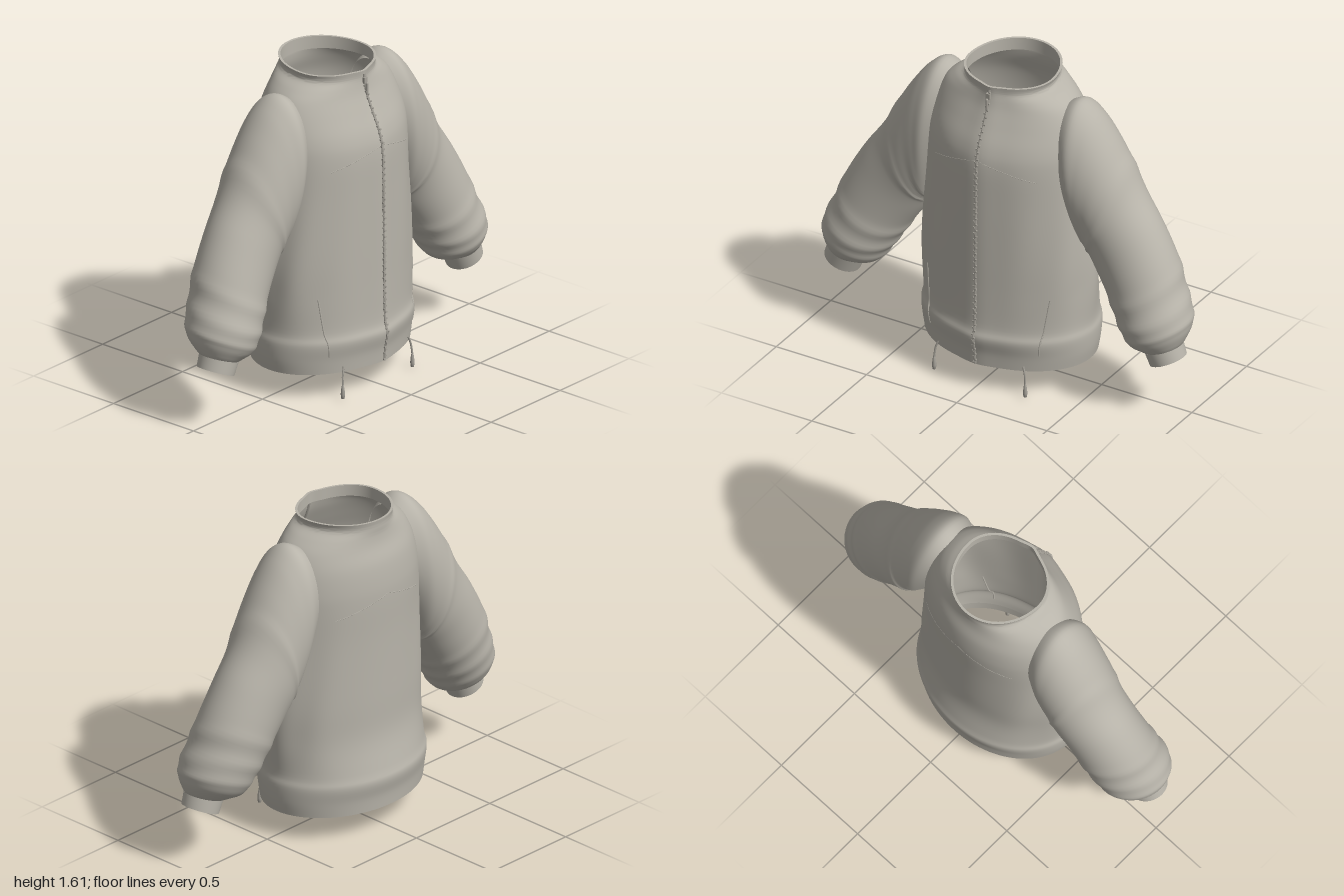
import * as THREE from 'three';
import { toCreasedNormals } from 'three/addons/utils/BufferGeometryUtils.js';

// Catmull-Rom blend between rows of section parameters, t in 0..rows.length-1
function blend(rows, t) {
  const i = Math.min(Math.floor(t), rows.length - 2), f = t - i;
  const at = (k) => rows[Math.max(0, Math.min(rows.length - 1, k))];
  return rows[i].map((p1, k) => {
    const p0 = at(i - 1)[k], p2 = at(i + 1)[k], p3 = at(i + 2)[k];
    const v0 = (p2 - p0) / 2, v1 = (p3 - p1) / 2;
    return p1 + f * (v0 + f * (3 * (p2 - p1) - 2 * v0 - v1 + f * (2 * (p1 - p2) + v0 + v1)));
  });
}

// Skin a tube through rings given by point(ring, angle)
function loft(rings, segments, point) {
  const pos = [], index = [];
  for (let r = 0; r < rings; r++)
    for (let s = 0; s < segments; s++) pos.push(...point(r, (s / segments) * Math.PI * 2));
  for (let r = 0; r < rings - 1; r++)
    for (let s = 0; s < segments; s++) {
      const n = (s + 1) % segments, a = r * segments + s, b = r * segments + n;
      const c = a + segments, d = b + segments;
      index.push(a, b, c, b, d, c);
    }
  const geo = new THREE.BufferGeometry();
  geo.setAttribute('position', new THREE.Float32BufferAttribute(pos, 3));
  geo.setIndex(index);
  return toCreasedNormals(geo, 1.0);
}

// Body sections: height, half width, front z, back z
const BODY = [
  [0.13, 0.44, 0.32, -0.34], [0.2, 0.452, 0.325, -0.345], [0.28, 0.455, 0.34, -0.36],
  [0.34, 0.445, 0.325, -0.345], [0.5, 0.45, 0.32, -0.312], [0.7, 0.45, 0.318, -0.31],
  [1.0, 0.43, 0.315, -0.31], [1.2, 0.42, 0.31, -0.315], [1.3, 0.41, 0.29, -0.312],
  [1.4, 0.385, 0.245, -0.298], [1.48, 0.345, 0.21, -0.272], [1.53, 0.29, 0.197, -0.262],
  [1.56, 0.237, 0.193, -0.262], [1.58, 0.228, 0.193, -0.262], [1.603, 0.235, 0.195, -0.265],
];

// Sleeve sections: outer x, y, inner x, y, front z, back z
const SLEEVE = [
  [0.3, 1.49, 0.36, 0.95, 0.14, -0.18], [0.38, 1.53, 0.41, 0.83, 0.18, -0.21],
  [0.46, 1.475, 0.435, 0.76, 0.18, -0.215], [0.54, 1.37, 0.445, 0.745, 0.175, -0.215],
  [0.61, 1.255, 0.45, 0.735, 0.172, -0.215], [0.7, 1.09, 0.46, 0.72, 0.163, -0.21],
  [0.8, 0.945, 0.49, 0.67, 0.165, -0.2], [0.89, 0.785, 0.55, 0.58, 0.178, -0.19],
  [0.94, 0.655, 0.605, 0.49, 0.195, -0.175], [0.99, 0.535, 0.655, 0.41, 0.208, -0.155],
  [0.997, 0.47, 0.7, 0.348, 0.195, -0.125], [0.98, 0.41, 0.755, 0.332, 0.165, -0.07],
  [0.965, 0.382, 0.79, 0.325, 0.147, -0.037],
];

// Cuff sections, running down the outside and back up the inside
const CUFF = [
  [0.97, 0.388, 0.785, 0.325, 0.15, -0.042], [0.988, 0.33, 0.815, 0.258, 0.145, -0.038],
  [0.976, 0.325, 0.827, 0.264, 0.133, -0.026], [0.955, 0.38, 0.8, 0.325, 0.133, -0.026],
];

// Angle 0 is the wearer's left, a quarter turn is the front
function bodyPoint([y, a, zf, zb], ang) {
  const s = Math.sin(ang), c = Math.cos(ang);
  const soft = Math.min(1, Math.max(0, (y - 0.3) * 4)) * Math.min(1, Math.max(0, (1.25 - y) * 3));
  const fold = 1 + 0.008 * soft * Math.sin(9 * ang + 4 * y) * c * c * 2;
  const ridge = s > 0 ? 0.012 * Math.pow(s, 60) : 0;
  const z = (s > 0 ? zf * s : -zb * s) * fold + ridge;
  const tilt = Math.min(1, Math.max(0, (y - 1.5) * 12)) * -0.045 * (z + 0.03);
  return [a * c * fold, y + tilt, z];
}

// Find the body section at a given height
function bodyAt(y) {
  let lo = 0, hi = BODY.length - 1;
  for (let i = 0; i < 30; i++) {
    const m = (lo + hi) / 2;
    if (blend(BODY, m)[0] < y) lo = m; else hi = m;
  }
  return blend(BODY, lo);
}

// Point on the body surface from x and y; face is 1 for front, -1 for back
function onBody(x, y, face, lift = 0) {
  const row = bodyAt(y);
  const p = bodyPoint(row, face * Math.acos(Math.max(-1, Math.min(1, x / row[1]))));
  return new THREE.Vector3(p[0], p[1], p[2] + lift * face);
}

function armPoint([ux, uy, lx, ly, zf, zb], ang, side, puff = 0) {
  const c = Math.cos(ang) * (1 + puff), s = Math.sin(ang) * (1 + puff);
  return [side * ((ux + lx) / 2 + (ux - lx) / 2 * c), (uy + ly) / 2 + (uy - ly) / 2 * c,
    (zf + zb) / 2 + (zf - zb) / 2 * s];
}

export function createModel() {
  const jacket = new THREE.Group();
  jacket.name = 'jacket';
  const fabric = new THREE.MeshStandardMaterial({ color: 0xb8b4aa, side: THREE.DoubleSide });
  fabric.name = 'stone fabric';
  const trim = new THREE.MeshStandardMaterial({ color: 0xa5a198 });
  trim.name = 'stone trim';
  const add = (name, geo, mat = fabric) => {
    const mesh = new THREE.Mesh(geo, mat);
    mesh.name = name;
    jacket.add(mesh);
    return mesh;
  };
  const tube = (name, pts, r, mat = fabric) =>
    add(name, new THREE.TubeGeometry(new THREE.CatmullRomCurve3(pts), pts.length * 3, r, 6), mat);

  // Body with the hem and collar turned inwards
  const inset = ([y, a, zf, zb], dy) => [y + dy, a - 0.012, zf - 0.012, zb + 0.012];
  const rows = [inset(BODY[0], 0.07), inset(BODY[0], 0)];
  for (let i = 0; i <= (BODY.length - 1) * 5; i++) rows.push(blend(BODY, i / 5));
  const top = BODY[BODY.length - 1];
  rows.push(inset(top, 0), inset(top, -0.06));
  add('body', loft(rows.length, 96, (r, ang) => bodyPoint(rows[r], ang)));

  for (const side of [1, -1]) {
    const label = side > 0 ? 'left' : 'right';

    // Sleeve with soft creases at the armhole, elbow and wrist
    const steps = 6, rings = (SLEEVE.length - 1) * steps + 1;
    add(label + 'Sleeve', loft(rings, 48, (r, ang) => {
      const t = r / steps;
      const bump = (at, w, h) => h * Math.exp(-(((t - at - 0.25 * Math.sin(ang)) / w) ** 2));
      const puff = bump(4.3, 0.25, 0.025) + bump(7.5, 0.25, 0.03) + bump(8.5, 0.25, 0.035)
        + bump(9.4, 0.25, 0.025);
      return armPoint(blend(SLEEVE, t), ang, side, t > 10.5 ? 0 : puff);
    }));
    add(label + 'Cuff', loft(CUFF.length, 40, (r, ang) => armPoint(CUFF[r], ang, side)));

    // Slanted pocket welt
    const welt = [];
    for (let i = 0; i <= 8; i++)
      welt.push(onBody(side * (0.3 + 0.04 * i / 8), 0.22 + 0.3 * i / 8, 1));
    tube(label + 'PocketWelt', welt, 0.004);

    // Yoke seams on the chest and back
    for (const face of [1, -1]) {
      const seam = [];
      for (let i = 0; i <= 8; i++)
        seam.push(onBody(side * 0.035 * i, 1.24 - 0.01 * i, face, -0.001));
      tube(label + (face > 0 ? 'Front' : 'Back') + 'YokeSeam', seam, 0.002);
    }

    // Hem drawcord and its toggle
    tube(label + 'Drawcord', [[0.235, 0.16, 0.28], [0.247, 0.12, 0.285], [0.252, 0.07, 0.29]]
      .map(([x, y, z]) => new THREE.Vector3(side * x, y, z)), 0.005, trim);
    const toggle = add(label + 'Toggle', new THREE.LatheGeometry(
      [[0, 0], [0.008, 0.004], [0.011, 0.025], [0.008, 0.055], [0.004, 0.075], [0, 0.078]]
        .map(([x, y]) => new THREE.Vector2(x, y)), 12), trim);
    toggle.position.set(side * 0.252, 0, 0.29);
  }

  // Zip from hem to collar with interlocking teeth
  const line = [];
  for (let i = 0; i <= 40; i++) line.push(onBody(0, 0.132 + 1.455 * i / 40, 1, -0.001));
  tube('zipCoil', line, 0.007, trim);
  const teeth = new THREE.InstancedMesh(new THREE.BoxGeometry(0.01, 0.008, 0.008), trim, 90);
  teeth.name = 'zipTeeth';
  for (let i = 0; i < 90; i++) {
    const p = onBody(i % 2 ? 0.005 : -0.005, 0.14 + 1.43 * i / 89, 1, 0.003);
    teeth.setMatrixAt(i, new THREE.Matrix4().makeTranslation(p.x, p.y, p.z));
  }
  jacket.add(teeth);

  // Zip slider and pull
  const slider = add('zipSlider', new THREE.BoxGeometry(0.022, 0.03, 0.014), trim);
  slider.position.copy(onBody(0, 1.55, 1, 0.005));
  const pull = add('zipPull', new THREE.CapsuleGeometry(0.007, 0.05, 4, 8), trim);
  pull.position.copy(onBody(0, 1.505, 1, 0.01));
  return jacket;
}
